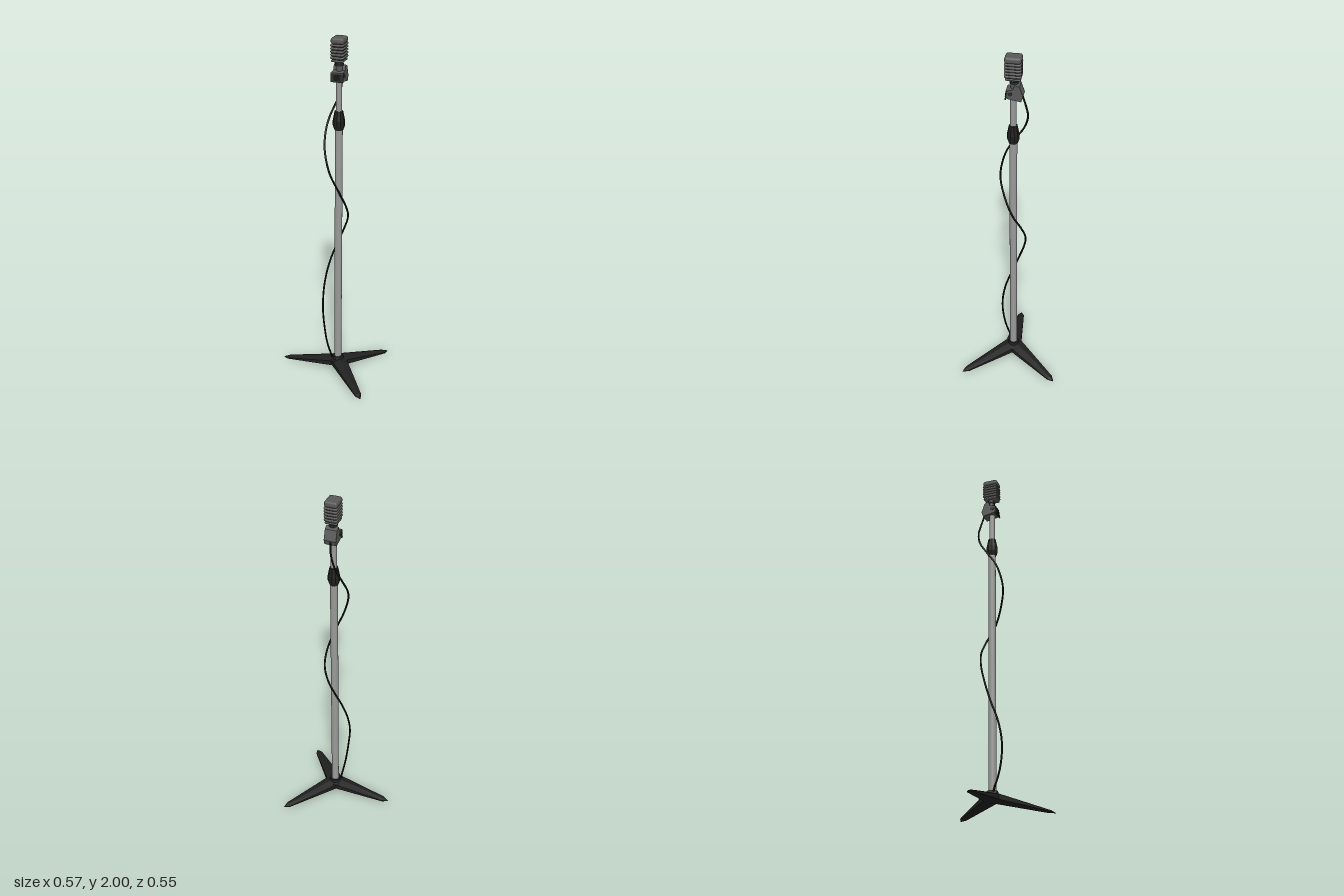
import * as THREE from 'three';
import { RoundedBoxGeometry } from 'three/addons/geometries/RoundedBoxGeometry.js';

const POLE_X = 0.058;

function material(name, color, flat = false) {
  const m = new THREE.MeshStandardMaterial({ color, flatShading: flat });
  m.name = name;
  return m;
}

// Ridged, tapering leg lofted along +x from [distance, half width, ridge y, edge y, bottom y]
function legGeometry(sections) {
  const rings = sections.map(([d, w, ridge, edge, bottom]) => [
    [d, ridge, 0], [d, edge, w], [d, bottom, w], [d, bottom, -w], [d, edge, -w],
  ]);
  const pos = [];
  for (let s = 0; s < rings.length - 1; s++) {
    for (let i = 0; i < 5; i++) {
      const j = (i + 1) % 5;
      const a = rings[s][i], b = rings[s][j], c = rings[s + 1][j], d = rings[s + 1][i];
      pos.push(...a, ...b, ...c, ...a, ...c, ...d);
    }
  }
  const g = new THREE.BufferGeometry();
  g.setAttribute('position', new THREE.Float32BufferAttribute(pos, 3));
  g.computeVertexNormals();
  return g;
}

export function createModel() {
  const metal = material('pole metal', 0x9a9a9a);
  const black = material('black base', 0x202020, true);
  const rubber = material('cable rubber', 0x101010);
  const grey = material('microphone grey', 0x585858);
  const dark = material('dark recess', 0x2a2a2a);

  const model = new THREE.Group();
  model.name = 'microphoneStand';
  const stand = new THREE.Group();
  stand.name = 'stand';
  stand.position.x = POLE_X;
  model.add(stand);

  const add = (name, geometry, mat, x = 0, y = 0, z = 0, parent = stand) => {
    const mesh = new THREE.Mesh(geometry, mat);
    mesh.name = name;
    mesh.position.set(x, y, z);
    parent.add(mesh);
    return mesh;
  };
  const tube = (name, r, y0, y1, mat, sides = 16, z = 0) =>
    add(name, new THREE.CylinderGeometry(r, r, y1 - y0, sides), mat, 0, (y0 + y1) / 2, z);

  // Tripod base
  const leg = legGeometry([
    [0, 0.046, 0.08, 0.068, 0.036],
    [0.06, 0.041, 0.068, 0.057, 0.03],
    [0.312, 0.019, 0.015, 0.009, 0.003],
    [0.344, 0.0005, 0.003, 0.002, 0],
  ]);
  const spread = THREE.MathUtils.degToRad(50);
  [[Math.PI, 1], [spread, 1.035], [-spread, 1.035]].forEach(([angle, stretch], i) => {
    const mesh = add('leg' + (i + 1), leg, black);
    mesh.rotation.y = angle;
    mesh.scale.x = stretch;
  });
  add('hub', new THREE.CylinderGeometry(0.03, 0.045, 0.052, 10), black, 0, 0.06);

  // Telescopic pole with its grip
  tube('lowerPole', 0.021, 0.06, 1.51, metal);
  tube('upperPole', 0.0165, 1.5, 1.78, metal);
  const gripProfile = [[0, 1.495], [0.024, 1.495], [0.033, 1.52], [0.033, 1.548], [0.023, 1.6], [0, 1.6]]
    .map(([r, y]) => new THREE.Vector2(r, y));
  add('heightGrip', new THREE.LatheGeometry(gripProfile, 10), black);

  // Tilting clip, drawn as a side outline (z, y) and extruded across x
  const outline = new THREE.Shape([
    [0.034, 1.815], [0.027, 1.77], [-0.045, 1.757], [-0.055, 1.785],
    [-0.036, 1.84], [-0.012, 1.852], [-0.002, 1.822],
  ].map(([z, y]) => new THREE.Vector2(z, y)));
  const clipGeometry = new THREE.ExtrudeGeometry(outline, { depth: 0.066, bevelEnabled: false });
  clipGeometry.translate(0, 0, -0.033);
  clipGeometry.rotateY(-Math.PI / 2);
  add('clip', clipGeometry, grey);
  const plate = add('clipFront', new THREE.BoxGeometry(0.07, 0.05, 0.008), dark, 0, 1.79, 0.032);
  plate.rotation.x = -0.15;
  const inset = add('clipSocket', new THREE.BoxGeometry(0.036, 0.03, 0.004), rubber, 0, 1.79, 0.037);
  inset.rotation.x = -0.15;
  const pivot = add('pivotBolt', new THREE.CylinderGeometry(0.012, 0.012, 0.07, 10), dark, 0, 1.798, 0.012);
  pivot.rotation.z = Math.PI / 2;

  // Microphone: neck, dark core and stacked ribs
  tube('neck', 0.017, 1.81, 1.875, grey, 16, -0.004);
  tube('neckCollar', 0.023, 1.848, 1.86, dark, 16, -0.004);
  const head = new THREE.Group();
  head.name = 'microphoneHead';
  head.position.z = -0.002;
  stand.add(head);
  add('core', new RoundedBoxGeometry(0.062, 0.115, 0.078, 2, 0.012), dark, 0, 1.93, 0, head);
  for (let i = 0; i < 6; i++) {
    const k = i === 0 ? 0.92 : 1;
    add('rib' + (i + 1), new RoundedBoxGeometry(0.073 * k, 0.0135, 0.088 * k, 3, 0.0065),
      grey, 0, 1.878 + i * 0.0165, 0, head);
  }
  add('crown', new RoundedBoxGeometry(0.072, 0.034, 0.087, 4, 0.013), grey, 0, 1.983, 0, head);

  // Cable winding down around the pole
  const path = [
    [0.058, 1.8, -0.04], [0.05, 1.72, -0.063], [0.025, 1.64, -0.072], [-0.01, 1.55, -0.048],
    [-0.018, 1.48, -0.005], [-0.005, 1.39, 0.05], [0.03, 1.27, 0.075], [0.068, 1.17, 0.052],
    [0.102, 1.05, 0], [0.098, 0.97, -0.048], [0.07, 0.89, -0.07], [0.035, 0.8, -0.058],
    [0, 0.69, -0.025], [-0.018, 0.57, 0.015], [-0.014, 0.44, 0.06], [0, 0.32, 0.075],
    [0.013, 0.19, 0.058], [0.028, 0.075, 0.015],
  ].map(p => new THREE.Vector3(...p));
  add('cable', new THREE.TubeGeometry(new THREE.CatmullRomCurve3(path), 110, 0.0053, 8),
    rubber, 0, 0, 0, model);

  return model;
}
